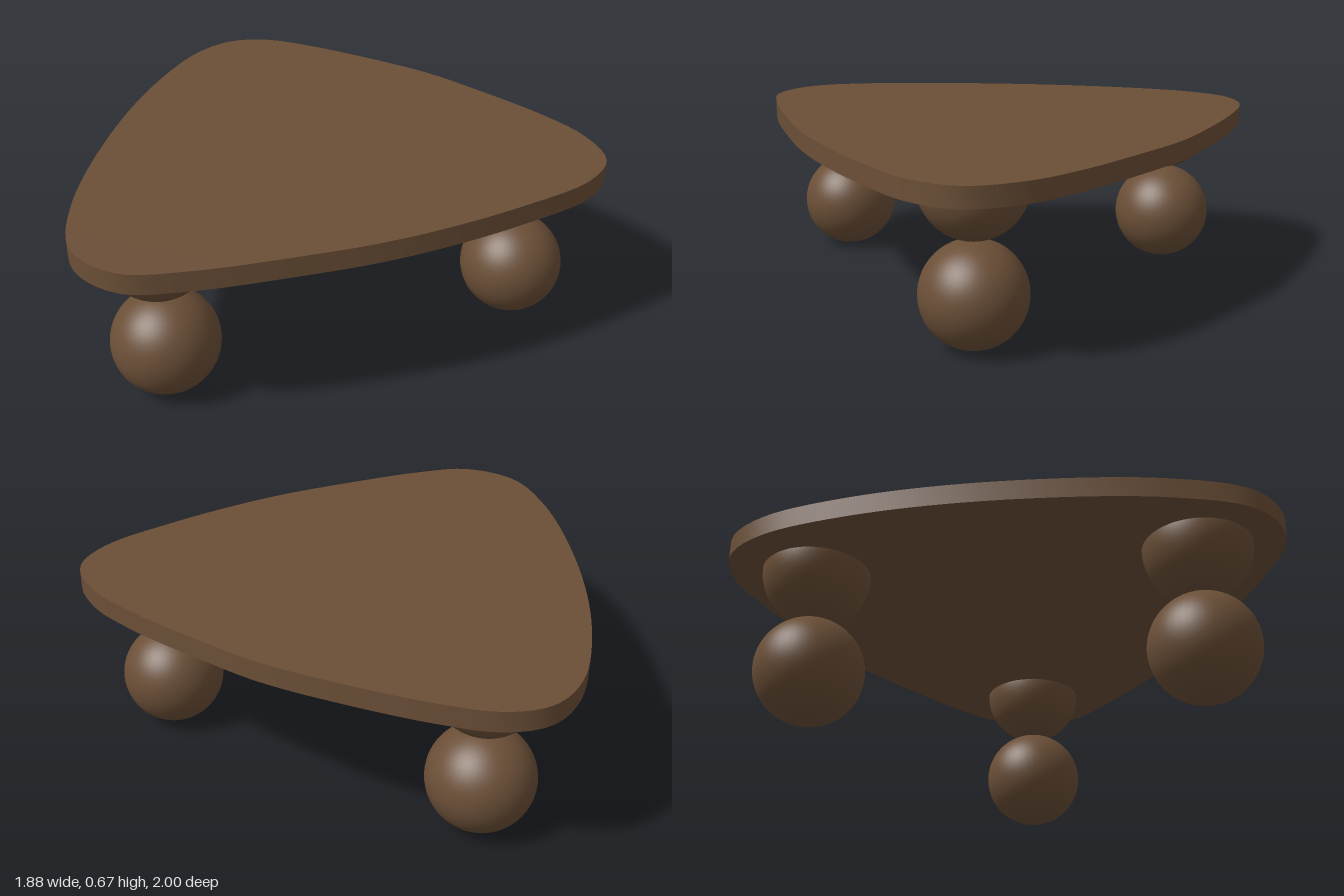
import * as THREE from 'three';
import { toCreasedNormals } from 'three/addons/utils/BufferGeometryUtils.js';

// Outline of the top as [x, z]
const OUTLINE = [
  [-0.56, -1], [-0.36, -0.96], [0, -0.825], [0.22, -0.72], [0.4, -0.6], [0.7, -0.375],
  [0.86, -0.21], [0.94, -0.02], [0.875, 0.16], [0.65, 0.375], [0.4, 0.565], [0.2, 0.69],
  [0, 0.79], [-0.39, 0.955], [-0.6, 0.998], [-0.79, 0.89], [-0.895, 0.6],
  [-0.943, 0], [-0.905, -0.5], [-0.82, -0.82], [-0.71, -0.96],
];
const RADIUS = 0.196;
const UNDERSIDE = 0.59;
const THICKNESS = 0.075;

export function createModel() {
  const group = new THREE.Group();
  const wood = new THREE.MeshStandardMaterial({ color: 0x6b4f37 });
  wood.name = 'brown wood';

  // Rounded triangular table top
  const curve = new THREE.CatmullRomCurve3(
    OUTLINE.map(([x, z]) => new THREE.Vector3(x, -z, 0)), true, 'centripetal');
  const points = curve.getSpacedPoints(140).slice(0, -1);
  const shape = new THREE.Shape(points.map((p) => new THREE.Vector2(p.x, p.y)));
  const slab = new THREE.ExtrudeGeometry(shape, { depth: THICKNESS, bevelEnabled: false });
  slab.rotateX(-Math.PI / 2);
  const top = new THREE.Mesh(toCreasedNormals(slab, Math.PI / 5), wood);
  top.name = 'tableTop';
  top.position.y = UNDERSIDE;
  group.add(top);

  // Three legs, each a ball under a half ball
  const ball = new THREE.SphereGeometry(RADIUS, 48, 32);
  const halfBall = new THREE.SphereGeometry(RADIUS, 48, 16, 0, Math.PI * 2, Math.PI / 2, Math.PI / 2);
  const legs = { frontLeg: [-0.57, 0.69], backLeg: [-0.54, -0.69], sideLeg: [0.617, -0.015] };
  for (const [name, [x, z]] of Object.entries(legs)) {
    const leg = new THREE.Group();
    leg.name = name;
    leg.position.set(x, 0, z);
    const lower = new THREE.Mesh(ball, wood);
    lower.name = 'lowerBall';
    lower.position.y = RADIUS;
    const upper = new THREE.Mesh(halfBall, wood);
    upper.name = 'upperHalfBall';
    upper.position.y = UNDERSIDE;
    leg.add(lower, upper);
    group.add(leg);
  }
  return group;
}
